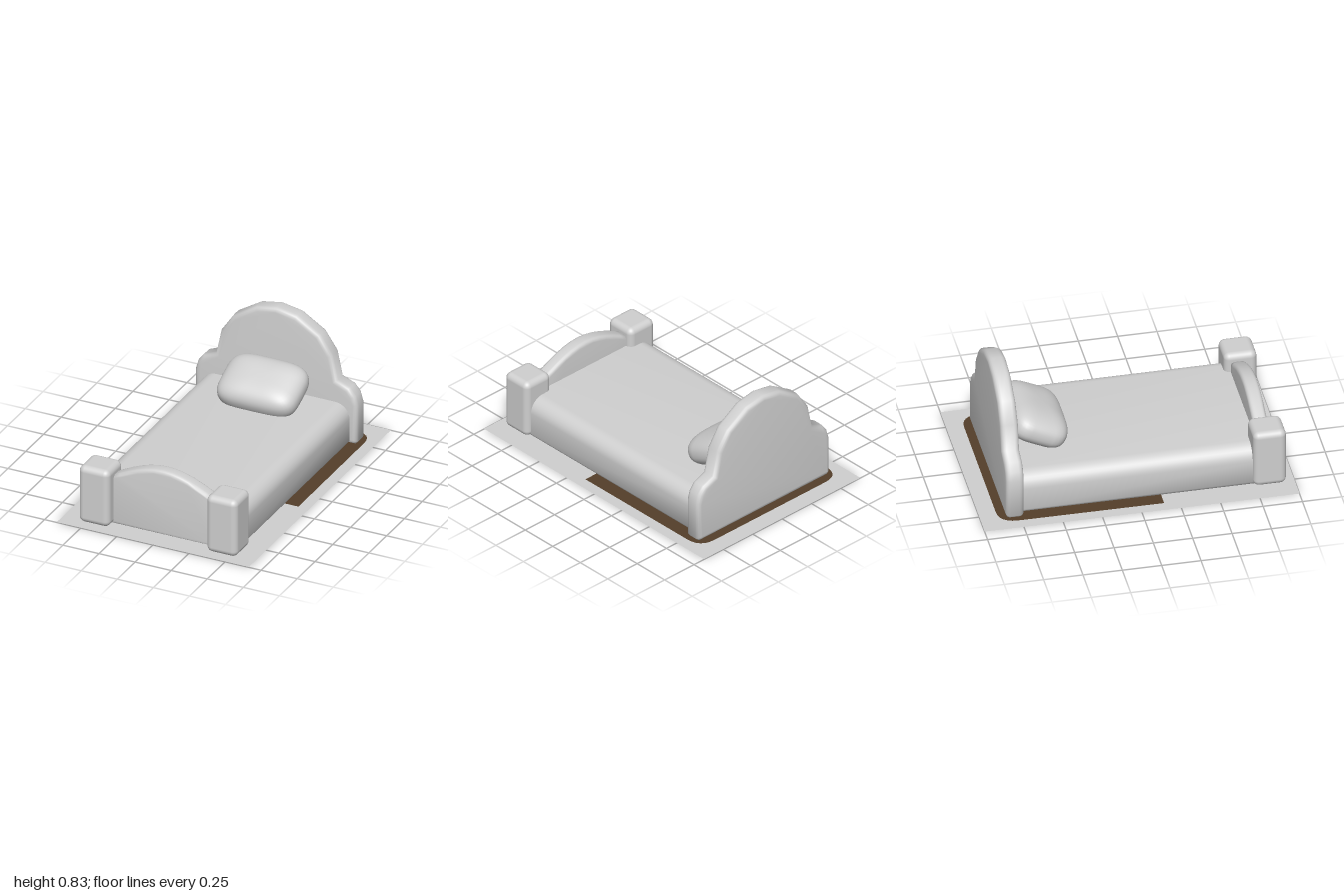
import * as THREE from 'three';
import { mergeVertices, toCreasedNormals } from 'three/addons/utils/BufferGeometryUtils.js';
import { RoundedBoxGeometry } from 'three/addons/geometries/RoundedBoxGeometry.js';

export function createModel() {
  const model = new THREE.Group();
  model.name = 'bed';
  const grey = new THREE.MeshStandardMaterial({ color: 0xd0d0d0, side: THREE.DoubleSide });
  grey.name = 'pale grey';
  const brown = new THREE.MeshStandardMaterial({ color: 0x543f2a, side: THREE.DoubleSide });
  brown.name = 'dark brown';

  const add = (name, geometry, material = grey) => {
    const mesh = new THREE.Mesh(geometry, material);
    mesh.name = name;
    model.add(mesh);
    return mesh;
  };

  // Symmetric board: right half outline from the bottom up to the crest, mirrored in x
  const board = (half, z0, z1, bevel) => {
    const mirrored = half.filter(([x]) => x > 0).reverse().map(([x, y]) => [-x, y]);
    const shape = new THREE.Shape([...half, ...mirrored].map(([x, y]) => new THREE.Vector2(x, y)));
    const geometry = new THREE.ExtrudeGeometry(shape, {
      depth: z1 - z0 - 2 * bevel,
      bevelEnabled: bevel > 0,
      bevelThickness: bevel,
      bevelSize: bevel,
      bevelOffset: -bevel,
      bevelSegments: 4,
    });
    geometry.translate(0, 0, z0 + bevel);
    return toCreasedNormals(geometry, 1.1);
  };

  // Headboard with round shoulders and a tall faceted arch
  add('headboard', board([
    [0.545, 0], [0.562, 0.02], [0.562, 0.275], [0.545, 0.335], [0.505, 0.385], [0.42, 0.42],
    [0.385, 0.585], [0.3, 0.71], [0.14, 0.81], [0, 0.835],
  ], -0.84, -0.725, 0.03));

  // Footboard with a low arch, its base just above the rug
  const foot = [[0.36, 0.004]];
  for (let i = 0; i <= 6; i++) {
    const x = 0.36 * (1 - i / 6);
    foot.push([x, 0.335 + 0.12 * Math.cos((x / 0.36) * Math.PI / 2)]);
  }
  add('footboard', board(foot, 0.775, 0.87, 0.025));

  // Foot posts
  for (const side of [-1, 1]) {
    const post = add(side > 0 ? 'leftPost' : 'rightPost', new RoundedBoxGeometry(0.212, 0.396, 0.21, 4, 0.04));
    post.position.set(side * 0.442, 0.202, 0.84);
  }

  // Mattress with rounded upper edges
  const section = [[0.495, 0], [0.512, 0.025]];
  for (let i = 0; i <= 8; i++) {
    const a = (i / 8) * Math.PI / 2;
    section.push([0.412 + 0.1 * Math.cos(a), 0.175 + 0.1 * Math.sin(a)]);
  }
  add('mattress', board(section, -0.76, 0.8, 0));

  // Pillow: a sphere squared off towards a plump cushion
  const pillowGeometry = new THREE.SphereGeometry(1, 40, 24);
  pillowGeometry.deleteAttribute('uv');
  pillowGeometry.deleteAttribute('normal');
  const p = pillowGeometry.attributes.position;
  const power = (v, e) => Math.sign(v) * Math.abs(v) ** e;
  for (let i = 0; i < p.count; i++) {
    const y = p.getY(i);
    const ring = Math.sqrt(Math.max(0, 1 - y * y));
    const a = Math.atan2(p.getZ(i), p.getX(i));
    const r = ring ** 0.7;
    p.setXYZ(i,
      0.275 * r * power(Math.cos(a), 0.5),
      0.115 * power(y, 0.85),
      0.193 * r * power(Math.sin(a), 0.5));
  }
  const softPillow = mergeVertices(pillowGeometry, 1e-5);
  softPillow.computeVertexNormals();
  const pillow = add('pillow', softPillow);
  pillow.position.set(0, 0.376, -0.548);
  pillow.rotation.x = 0.44;

  // Floor sheet
  const floor = add('floor', new THREE.PlaneGeometry(1.33, 2));
  floor.rotation.x = -Math.PI / 2;
  floor.position.y = 0.003;

  // Rug: round-cornered and very slightly tilted, sinking below the floor at the foot
  const rugShape = new THREE.Shape();
  const w = 0.592, back = 1.045, front = -0.765, r = 0.12;
  rugShape.moveTo(-w + r, front);
  rugShape.lineTo(w - r, front);
  rugShape.quadraticCurveTo(w, front, w, front + r);
  rugShape.lineTo(w, back - r);
  rugShape.quadraticCurveTo(w, back, w - r, back);
  rugShape.lineTo(-w + r, back);
  rugShape.quadraticCurveTo(-w, back, -w, back - r);
  rugShape.lineTo(-w, front + r);
  rugShape.quadraticCurveTo(-w, front, -w + r, front);
  const rug = add('rug', new THREE.ShapeGeometry(rugShape, 6), brown);
  rug.rotation.x = -Math.PI / 2 + 0.002;
  rug.position.set(0, 0.003, 0.155);

  return model;
}
